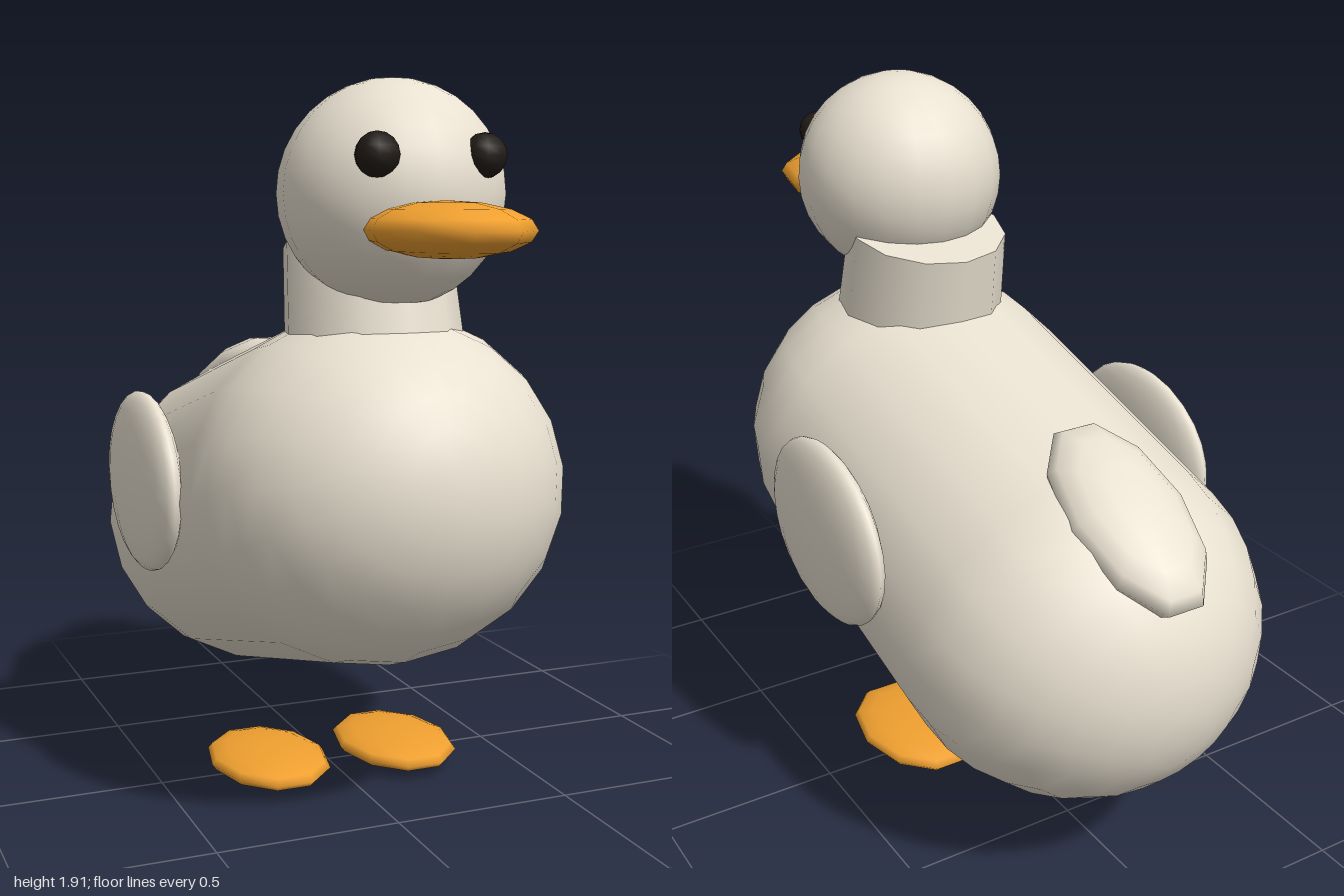
import * as THREE from 'three';

export function createModel() {
  const group = new THREE.Group();
  const mat = (color) => new THREE.MeshStandardMaterial({ color });
  const plumage = mat(0xe8e0d0), orange = mat(0xf0a030), black = mat(0x201a15);

  function add(name, geometry, material, position, tilt = 0) {
    const mesh = new THREE.Mesh(geometry, material);
    mesh.name = name;
    mesh.position.set(...position);
    mesh.rotation.x = tilt;
    group.add(mesh);
    return mesh;
  }
  // Ellipsoid with baked radii
  const ellipsoid = (rx, ry, rz, w, h) => new THREE.SphereGeometry(1, w, h).scale(rx, ry, rz);

  // Body: capsule leaning up towards the chest
  const body = new THREE.CapsuleGeometry(0.5, 0.8, 8, 20).scale(1, 1.03, 0.94);
  add('body', body, plumage, [0, 0.77, -0.085], 1.316);

  // Neck and head
  add('neck', new THREE.CylinderGeometry(0.22, 0.24, 0.36, 12), plumage, [0, 1.344, 0.301], -0.2);
  add('head', ellipsoid(0.288, 0.285, 0.29, 20, 16), plumage, [0, 1.64, 0.425]);

  // Bill and tail
  add('bill', ellipsoid(0.19, 0.068, 0.275, 10, 8), orange, [0, 1.557, 0.74]);
  add('tail', ellipsoid(0.165, 0.09, 0.3, 10, 8), plumage, [0, 1.04, -0.71], -0.51);

  // Paired parts
  for (const [side, s] of [['left', 1], ['right', -1]]) {
    add(side + 'Wing', ellipsoid(0.065, 0.247, 0.308, 20, 14), plumage, [s * 0.513, 0.858, -0.083]);
    add(side + 'Eye', ellipsoid(0.055, 0.055, 0.055, 10, 8), black, [s * 0.14, 1.73, 0.657]);
    add(side + 'Foot', ellipsoid(0.167, 0.043, 0.238, 10, 8), orange, [s * 0.195, 0.053, 0.03]);
  }
  return group;
}
